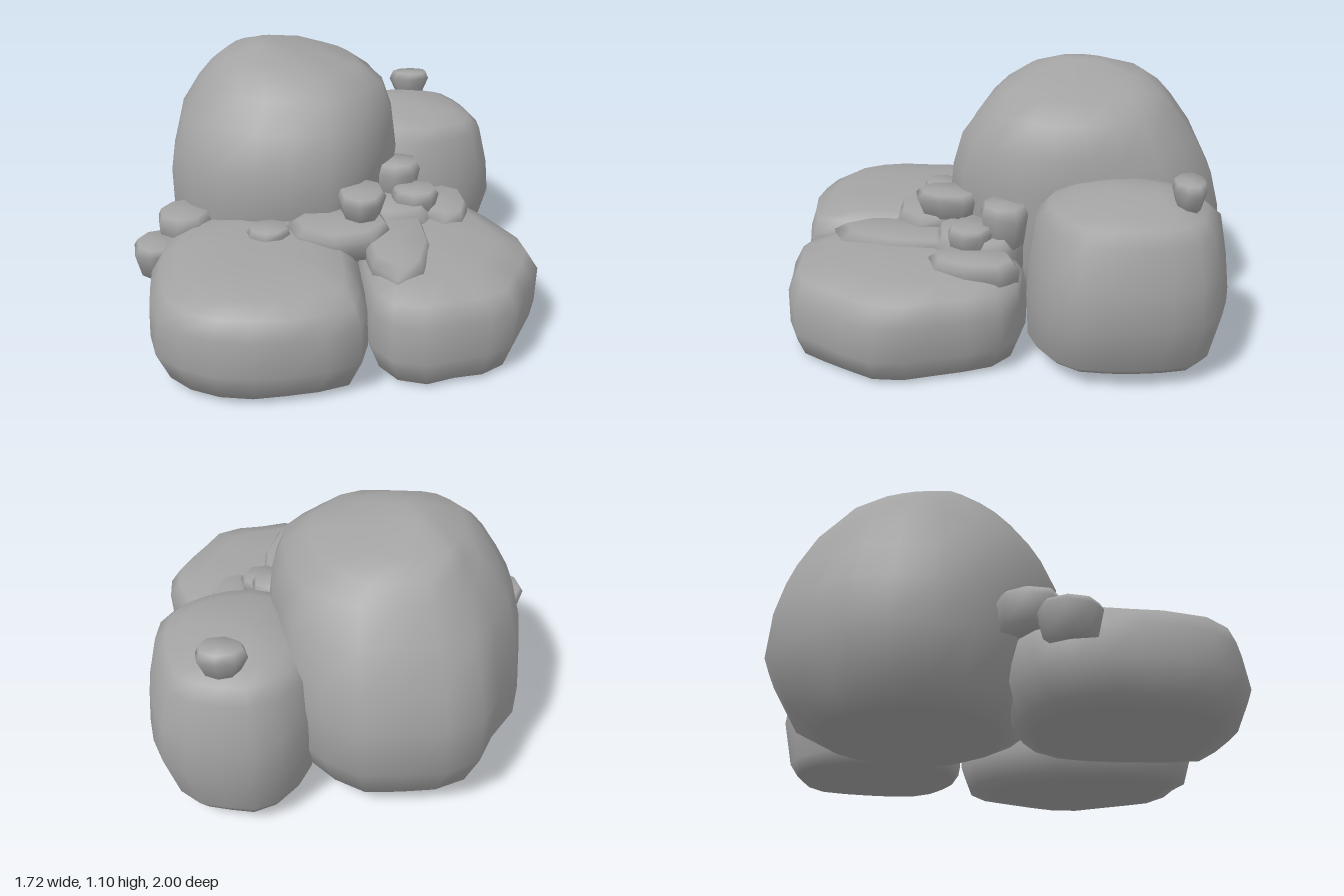
import * as THREE from 'three';

const stone = new THREE.MeshStandardMaterial({ color: 0xa3a3a3 });
stone.name = 'grey stone';

// Small seeded generator for surface roughness
function seeded(seed) {
  return () => {
    seed = (seed * 16807) % 2147483647;
    return seed / 2147483647;
  };
}

// Loft a rock: a plan outline [x, z] fitted into the box of each level [y, x0, x1, z0, z1]
function rock(name, outline, levels, sides, rough, seed) {
  const rand = seeded(seed);
  const curve = new THREE.CatmullRomCurve3(outline.map(([x, z]) => new THREE.Vector3(x, 0, z)), true);
  const plan = curve.getSpacedPoints(sides).slice(0, sides).map(p => new THREE.Vector2(p.x, p.z));
  if (THREE.ShapeUtils.area(plan) < 0) plan.reverse();
  const box = new THREE.Box2().setFromPoints(plan);
  const size = box.getSize(new THREE.Vector2());
  const pos = [], index = [];
  levels.forEach(([y, x0, x1, z0, z1], j) => {
    const cx = (x0 + x1) / 2, cz = (z0 + z1) / 2;
    const inner = j > 0 && j < levels.length - 1;
    for (const p of plan) {
      const k = 1 + (rand() - 0.6) * rough;
      const x = x0 + (p.x - box.min.x) / size.x * (x1 - x0);
      const z = z0 + (p.y - box.min.y) / size.y * (z1 - z0);
      pos.push(cx + (x - cx) * k, y + (inner ? (rand() - 0.5) * rough * 0.3 : 0), cz + (z - cz) * k);
    }
  });
  for (let j = 0; j < levels.length - 1; j++) {
    for (let i = 0; i < sides; i++) {
      const n = (i + 1) % sides;
      const a = j * sides + i, b = j * sides + n, c = a + sides, d = b + sides;
      index.push(a, c, b, b, c, d);
    }
  }
  // Close the bottom and the top
  const last = levels.length - 1;
  for (const j of [0, last]) {
    const [y, x0, x1, z0, z1] = levels[j];
    const centre = pos.length / 3;
    pos.push((x0 + x1) / 2, y, (z0 + z1) / 2);
    for (let i = 0; i < sides; i++) {
      const a = j * sides + i, b = j * sides + (i + 1) % sides;
      if (j === 0) index.push(centre, a, b);
      else index.push(centre, b, a);
    }
  }
  const geo = new THREE.BufferGeometry();
  geo.setAttribute('position', new THREE.Float32BufferAttribute(pos, 3));
  geo.setIndex(index);
  geo.computeVertexNormals();
  const mesh = new THREE.Mesh(geo, stone);
  mesh.name = name;
  return mesh;
}

// Small angular stone inside a box; taper shrinks its base
function pebble(name, [x0, x1, y0, y1, z0, z1], taper, seed) {
  const outline = [[1, 0.1], [0.6, 0.85], [-0.3, 1], [-1, 0.4], [-0.85, -0.6], [0, -1], [0.8, -0.7]];
  const level = (t, s) => {
    const cx = (x0 + x1) / 2, cz = (z0 + z1) / 2, w = (x1 - x0) / 2 * s, d = (z1 - z0) / 2 * s;
    return [y0 + (y1 - y0) * t, cx - w, cx + w, cz - d, cz + d];
  };
  return rock(name, outline, [level(0, taper), level(0.75, 1), level(1, 0.85)], 8, 0.08, seed);
}

export function createModel() {
  const group = new THREE.Group();
  group.name = 'rockPile';

  // Four main boulders
  group.add(rock('largeBoulder',
    [[-0.13, -0.95], [0.05, -0.86], [0.13, -0.78], [0.22, -0.55], [0.28, -0.33], [0.27, -0.1], [0.18, 0.05],
      [0.05, 0.22], [-0.1, 0.25], [-0.38, 0.25], [-0.55, 0.18], [-0.73, -0.03], [-0.77, -0.45], [-0.68, -0.65],
      [-0.55, -0.88], [-0.35, -0.92]],
    [[0.03, -0.6, 0.1, -0.72, 0], [0.1, -0.7, 0.2, -0.84, 0.12], [0.3, -0.77, 0.27, -0.95, 0.22],
      [0.5, -0.77, 0.28, -0.95, 0.25], [0.65, -0.75, 0.285, -0.91, 0.25], [0.8, -0.71, 0.27, -0.83, 0.19],
      [0.93, -0.63, 0.22, -0.74, 0.1], [1.0, -0.57, 0.11, -0.67, 0.03], [1.05, -0.51, -0.06, -0.58, -0.06],
      [1.095, -0.37, -0.26, -0.4, -0.2]], 22, 0.03, 11));
  group.add(rock('backBoulder',
    [[0.28, -1], [0.42, -0.99], [0.6, -0.95], [0.68, -0.83], [0.76, -0.56], [0.755, -0.38], [0.65, -0.27],
      [0.5, -0.18], [0.25, -0.18], [0.1, -0.3], [0.02, -0.55], [0.06, -0.8], [0.15, -0.93]],
    [[0.05, 0.1, 0.64, -0.93, -0.22], [0.1, 0.06, 0.7, -0.96, -0.19], [0.3, 0.02, 0.765, -1, -0.18],
      [0.45, 0.02, 0.75, -0.985, -0.19], [0.62, 0.05, 0.71, -0.95, -0.22], [0.67, 0.09, 0.66, -0.9, -0.27],
      [0.7, 0.14, 0.59, -0.83, -0.35], [0.73, 0.24, 0.42, -0.72, -0.5]], 20, 0.02, 23));
  group.add(rock('frontRightBoulder',
    [[-0.3, 0.99], [-0.05, 0.95], [0.12, 0.87], [0.13, 0.65], [0.12, 0.5], [0.1, 0.3], [0, 0.1], [-0.2, 0],
      [-0.45, 0], [-0.65, 0.1], [-0.75, 0.25], [-0.77, 0.42], [-0.73, 0.65], [-0.71, 0.77], [-0.63, 0.88],
      [-0.52, 0.95]],
    [[0.01, -0.62, 0, 0.15, 0.85], [0.03, -0.72, 0.08, 0.08, 0.95], [0.15, -0.775, 0.13, 0, 1],
      [0.29, -0.765, 0.13, 0, 0.985], [0.37, -0.72, 0.1, 0.03, 0.96], [0.41, -0.65, 0.04, 0.08, 0.88],
      [0.435, -0.5, -0.1, 0.2, 0.72]], 22, 0.02, 37));
  group.add(rock('frontLeftBoulder',
    [[0.35, 0.86], [0.5, 0.81], [0.68, 0.75], [0.78, 0.56], [0.86, 0.37], [0.85, 0.24], [0.78, 0.1],
      [0.7, -0.07], [0.6, -0.18], [0.4, -0.2], [0.25, -0.1], [0.15, 0.1], [0.1, 0.35], [0.12, 0.6],
      [0.18, 0.8], [0.28, 0.85]],
    [[0, 0.2, 0.72, -0.02, 0.75], [0.02, 0.14, 0.81, -0.15, 0.84], [0.12, 0.1, 0.855, -0.19, 0.87],
      [0.27, 0.1, 0.865, -0.19, 0.86], [0.35, 0.12, 0.81, -0.17, 0.82], [0.39, 0.16, 0.68, -0.12, 0.7],
      [0.41, 0.22, 0.52, 0, 0.5]], 22, 0.02, 53));

  // Flat slabs and loose stones in the middle: box [x0, x1, y0, y1, z0, z1], base taper
  [
    ['longSlab', [0.12, 0.4, 0.3, 0.435, 0.08, 0.7], 1],
    ['middleSlab', [-0.2, 0.24, 0.36, 0.475, 0.14, 0.48], 1],
    ['coreStone', [0.05, 0.46, 0.25, 0.47, -0.15, 0.25], 1],
    ['flatStone', [-0.37, -0.18, 0.38, 0.465, 0.27, 0.44], 0.9],
    ['centreStone', [0.01, 0.22, 0.45, 0.575, 0.08, 0.37], 0.75],
    ['stackedStone', [0.17, 0.39, 0.42, 0.6, -0.17, 0.04], 0.8],
    ['leaningStone', [0.25, 0.46, 0.4, 0.52, -0.03, 0.16], 0.85],
    ['sideSlab', [0.38, 0.6, 0.32, 0.445, -0.17, 0.21], 1],
    ['ledgeStone', [-0.78, -0.54, 0.3, 0.445, 0, 0.27], 0.9],
    ['overhangStone', [-0.86, -0.66, 0.23, 0.365, 0.15, 0.41], 0.75],
    ['topStone', [0.29, 0.49, 0.68, 0.8, -0.89, -0.75], 0.65],
  ].forEach(([name, box, taper], i) => group.add(pebble(name, box, taper, 101 + i * 17)));

  return group;
}
